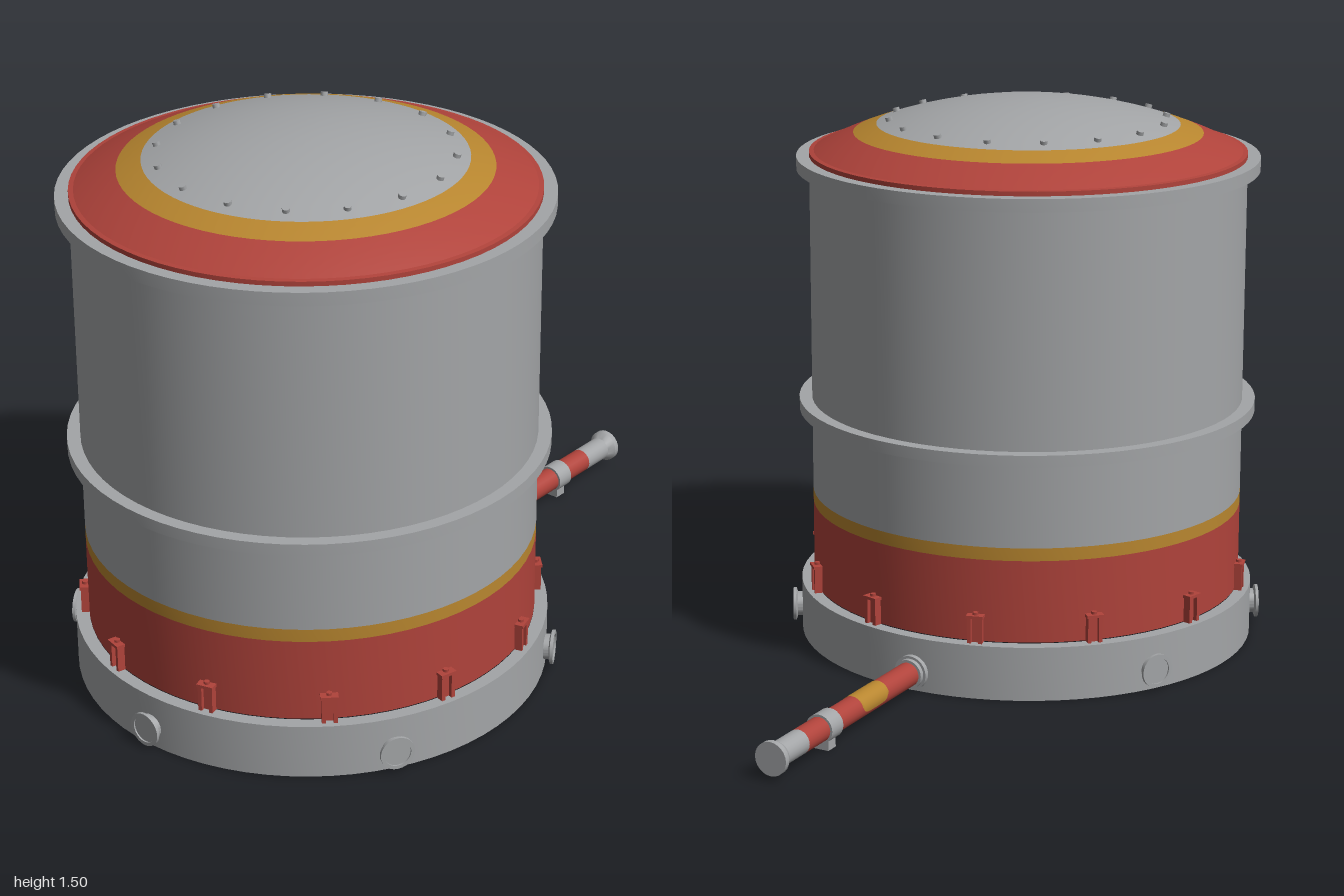
import * as THREE from 'three';
import { toCreasedNormals } from 'three/addons/utils/BufferGeometryUtils.js';

const paint = (name, color) => {
  const m = new THREE.MeshStandardMaterial({ color, side: THREE.DoubleSide });
  m.name = name;
  return m;
};

export function createModel() {
  const steel = paint('steel grey', 0xa3a5a7);
  const red = paint('signal red', 0xb0433b);
  const yellow = paint('warning yellow', 0xb8862f);
  const root = new THREE.Group();
  root.name = 'storageTank';

  const add = (parent, name, geometry, material, x = 0, y = 0, z = 0) => {
    const mesh = new THREE.Mesh(geometry, material);
    mesh.name = name;
    mesh.position.set(x, y, z);
    parent.add(mesh);
    return mesh;
  };
  const turned = (points, segments = 72) => toCreasedNormals(
    new THREE.LatheGeometry(points.map(([r, y]) => new THREE.Vector2(r, y)), segments), 0.5);
  const group = (parent, name) => {
    const g = new THREE.Group();
    g.name = name;
    parent.add(g);
    return g;
  };

  // Tank shell, open at the bottom
  const tank = group(root, 'tank');
  tank.position.z = 0.345;
  const R = 0.595, OUT = 0.63;
  add(tank, 'lowerWallBand', turned([[R, 0.15], [R, 0.375]]), red);
  add(tank, 'stripe', turned([[R, 0.375], [R, 0.41]]), yellow);
  add(tank, 'upperWall', turned([[R, 0.41], [R, 1.345]]), steel);
  add(tank, 'baseSkirt', turned([[OUT, 0], [OUT, 0.148], [R, 0.148]]), steel);
  for (const [name, low, high] of [['middleHoop', 0.64, 0.672], ['topHoop', 1.31, 1.345]]) {
    add(tank, name, turned([[R, low], [OUT, low], [OUT, high], [R, high]]), steel);
  }

  // Domed lid: a spherical cap painted in three zones
  const sphereR = 1.31, apex = 1.495;
  const domeY = r => apex - sphereR + Math.sqrt(sphereR * sphereR - r * r);
  const zone = (from, to) => Array.from({ length: 9 }, (_, i) => {
    const r = from + (to - from) * i / 8;
    return [r, domeY(r)];
  });
  add(tank, 'lidRim', turned([[R, 1.345], [R, 1.357], [0.578, 1.359]]), red);
  add(tank, 'lidOuterZone', turned(zone(0.585, 0.475)), red);
  add(tank, 'lidStripe', turned(zone(0.475, 0.412)), yellow);
  add(tank, 'lidCrown', turned(zone(0.412, 0)), steel);

  // Bolts around the lid crown
  const boltGeometry = new THREE.CylinderGeometry(0.01, 0.01, 0.016, 8);
  for (let i = 0; i < 16; i++) {
    const a = (i + 0.5) * Math.PI / 8, r = 0.377;
    const bolt = add(tank, 'lidBolt', boltGeometry, steel,
      Math.sin(a) * r, domeY(r) + 0.002, Math.cos(a) * r);
    bolt.rotation.set(Math.asin(r / sphereR), a, 0, 'YXZ');
  }

  // Anchor brackets standing on the skirt
  const cheek = new THREE.BoxGeometry(0.01, 0.07, 0.026);
  const web = new THREE.BoxGeometry(0.03, 0.07, 0.012);
  const cap = new THREE.BoxGeometry(0.046, 0.008, 0.03);
  const nut = new THREE.CylinderGeometry(0.008, 0.008, 0.008, 6);
  for (let i = 0; i < 12; i++) {
    const bracket = group(tank, 'anchorBracket');
    bracket.rotation.y = (i + 0.5) * Math.PI / 6;
    for (const side of [-1, 1]) add(bracket, 'cheek', cheek, red, side * 0.015, 0.183, 0.602);
    add(bracket, 'web', web, red, 0, 0.183, 0.597);
    add(bracket, 'capPlate', cap, red, 0, 0.221, 0.603);
    add(bracket, 'nut', nut, red, 0, 0.228, 0.603);
  }

  // Blind ports around the skirt; the rear place is taken by the pipe
  const portGeometry = turned([[0.034, 0], [0.034, 0.018], [0.046, 0.022], [0.046, 0.03],
    [0.036, 0.03], [0.036, 0.026], [0, 0.026]], 24);
  portGeometry.rotateX(Math.PI / 2);
  for (const i of [-2, -1, 0, 1, 2]) {
    const mount = group(tank, 'portMount');
    mount.rotation.y = i * Math.PI / 3;
    add(mount, 'port', portGeometry, steel, 0, 0.058, 0.625);
  }

  // Drain pipe running backwards; its local y axis points to -z
  const pipe = group(root, 'drainPipe');
  pipe.position.y = 0.058;
  pipe.rotation.x = -Math.PI / 2;
  const PR = 0.033;
  const tube = (name, from, to, material, r = PR) => add(pipe, name,
    new THREE.CylinderGeometry(r, r, to - from, 24), material, 0, (from + to) / 2, 0);
  tube('neck', 0.275, 0.3, steel);
  tube('innerFlange', 0.298, 0.312, steel, 0.047);
  tube('innerCollar', 0.312, 0.325, steel, 0.04);
  tube('redPipe', 0.325, 0.87, red);
  tube('endPipe', 0.87, 0.975, steel);
  tube('clampCollar', 0.718, 0.772, steel, 0.039);
  add(pipe, 'endFlange', turned([[PR, 0.965], [0.045, 0.985], [0.045, 1], [0, 1]], 24), steel);

  // Foot under the clamp collar
  add(root, 'pipeFoot', new THREE.BoxGeometry(0.042, 0.04, 0.036), steel, 0, 0.02, -0.745);

  // Yellow saddle over the top of the pipe, with rounded lower corners
  const saddle = new THREE.CylinderGeometry(PR + 0.001, PR + 0.001, 0.13, 24, 12, true);
  const pos = saddle.attributes.position;
  for (let row = 0; row <= 12; row++) {
    const t = row / 6 - 1;
    const half = 1.3 + 0.6 * Math.sqrt(Math.max(0, 1 - t ** 4));
    for (let col = 0; col <= 24; col++) {
      const a = (col / 12 - 1) * half, k = row * 25 + col;
      pos.setX(k, Math.sin(a) * (PR + 0.001));
      pos.setZ(k, Math.cos(a) * (PR + 0.001));
    }
  }
  saddle.computeVertexNormals();
  add(pipe, 'pipeSaddleMark', saddle, yellow, 0, 0.545, 0);

  return root;
}
